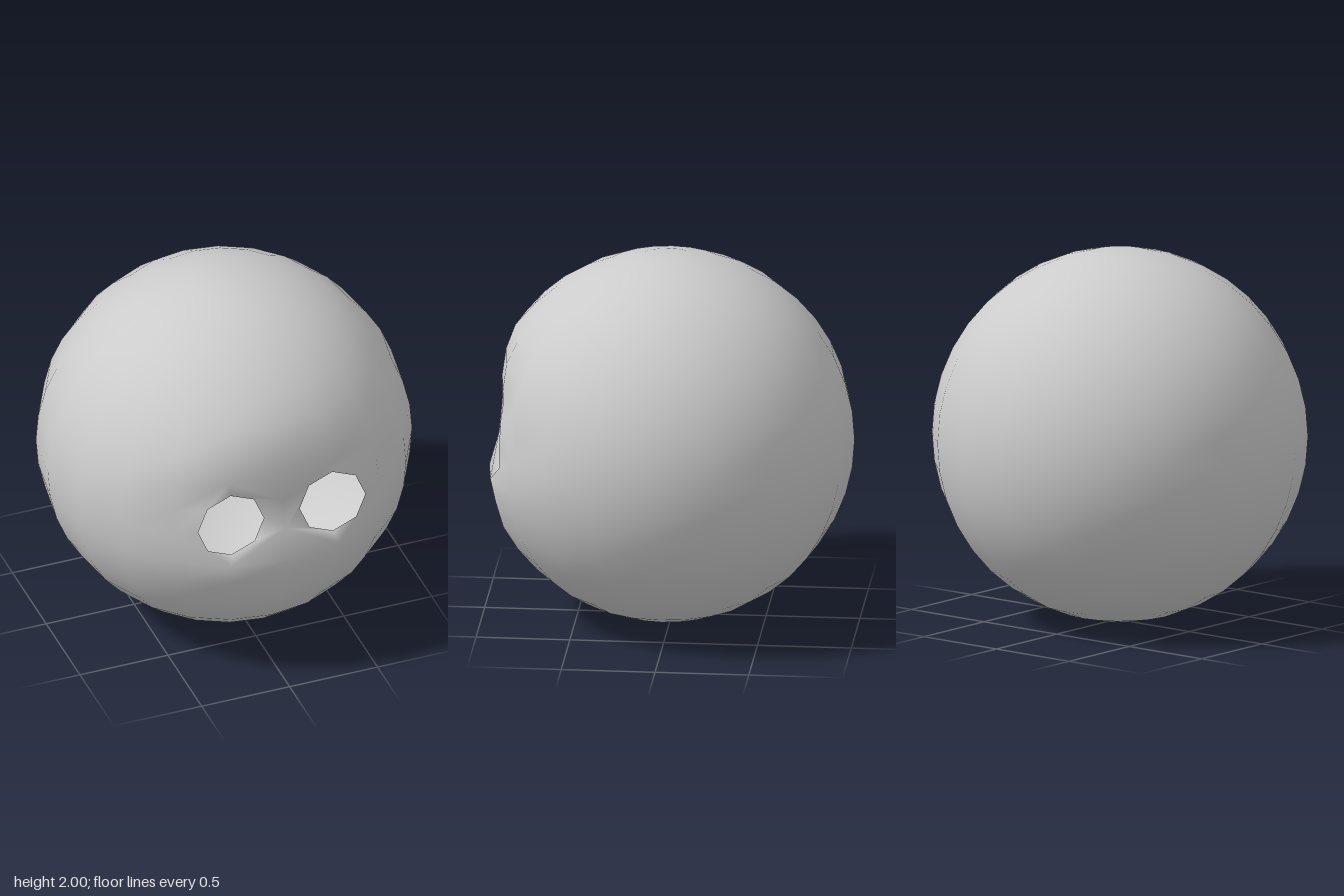
import * as THREE from 'three';
import { mergeVertices } from 'three/addons/utils/BufferGeometryUtils.js';

const SEGMENTS = 20, ROWS = 10, CENTRE_Z = 0.028;

// Face depth and vertical shift at the middle of each flattened row (9 degrees per row)
const FACE = {
  '-2': [0.945, 0], '-1': [0.975, -0.04], 0: [0.925, -0.02],
  1: [0.907, 0], 2: [0.907, 0], 3: [0.886, 0],
};

// Ball vertex at column i (0 = front) and row k (0 = equator), pressed in at the face
function ballPoint(i, k) {
  const lon = (i / SEGMENTS) * Math.PI * 2, lat = (k / ROWS) * Math.PI / 2;
  const p = new THREE.Vector3(
    Math.cos(lat) * Math.sin(lon), 1 + Math.sin(lat), Math.cos(lat) * Math.cos(lon) + CENTRE_Z);
  const face = FACE[k];
  if (face && p.z > 0.5 && Math.abs(p.x) < 0.6) {
    p.z = Math.min(p.z, face[0] - 0.35 * p.x * p.x);
    p.y += face[1] * Math.max(0, 1 - Math.abs(p.x) / 0.6);
  }
  return p;
}

// Face panel between two columns with an octagonal eye hole
function eyePanel(add, fromCol, toCol, cx, cy) {
  const rim = [];
  for (let i = fromCol; i < toCol; i++) rim.push(ballPoint(i, -1));
  for (let k = -1; k < 2; k++) rim.push(ballPoint(toCol, k));
  for (let i = toCol; i > fromCol; i--) rim.push(ballPoint(i, 2));
  for (let k = 2; k > -1; k--) rim.push(ballPoint(fromCol, k));
  const hole = [];
  for (let n = 0; n < 8; n++) {
    const a = -n * Math.PI / 4;
    const y = cy + 0.187 * Math.sin(a);
    hole.push(new THREE.Vector3(cx + 0.187 * Math.cos(a), y, 0.88 - 0.03 * (y - cy)));
  }
  const flat = (list) => list.map((p) => new THREE.Vector2(p.x, p.y));
  const all = [...rim, ...hole];
  for (const [a, b, c] of THREE.ShapeUtils.triangulateShape(flat(rim), [flat(hole)])) {
    add(all[a], all[b], all[c]);
  }
}

export function createModel() {
  const positions = [];
  const add = (...points) => points.forEach((p) => positions.push(p.x, p.y, p.z));

  // Ball shell, leaving out the cells taken by the eye panels
  for (let k = -ROWS; k < ROWS; k++) {
    for (let i = -SEGMENTS / 2; i < SEGMENTS / 2; i++) {
      if (k >= -1 && k < 2 && i >= -2 && i < 2) continue;
      const a = ballPoint(i, k), b = ballPoint(i + 1, k);
      const c = ballPoint(i + 1, k + 1), d = ballPoint(i, k + 1);
      if (k > -ROWS) add(a, b, c);
      if (k < ROWS - 1) add(a, c, d);
      if (k === -ROWS) continue;
      if (k === ROWS - 1) continue;
    }
  }

  // Face panels around the eye holes
  eyePanel(add, -2, 0, -0.287, 1.045);
  eyePanel(add, 0, 2, 0.29, 1.055);

  let geometry = new THREE.BufferGeometry();
  geometry.setAttribute('position', new THREE.Float32BufferAttribute(positions, 3));
  geometry = mergeVertices(geometry, 1e-4);
  geometry.computeVertexNormals();

  const head = new THREE.Mesh(geometry, new THREE.MeshStandardMaterial({
    color: 0xcccccc, side: THREE.DoubleSide,
  }));
  head.name = 'hollowHead';
  const group = new THREE.Group();
  group.name = 'head';
  group.add(head);
  return group;
}
